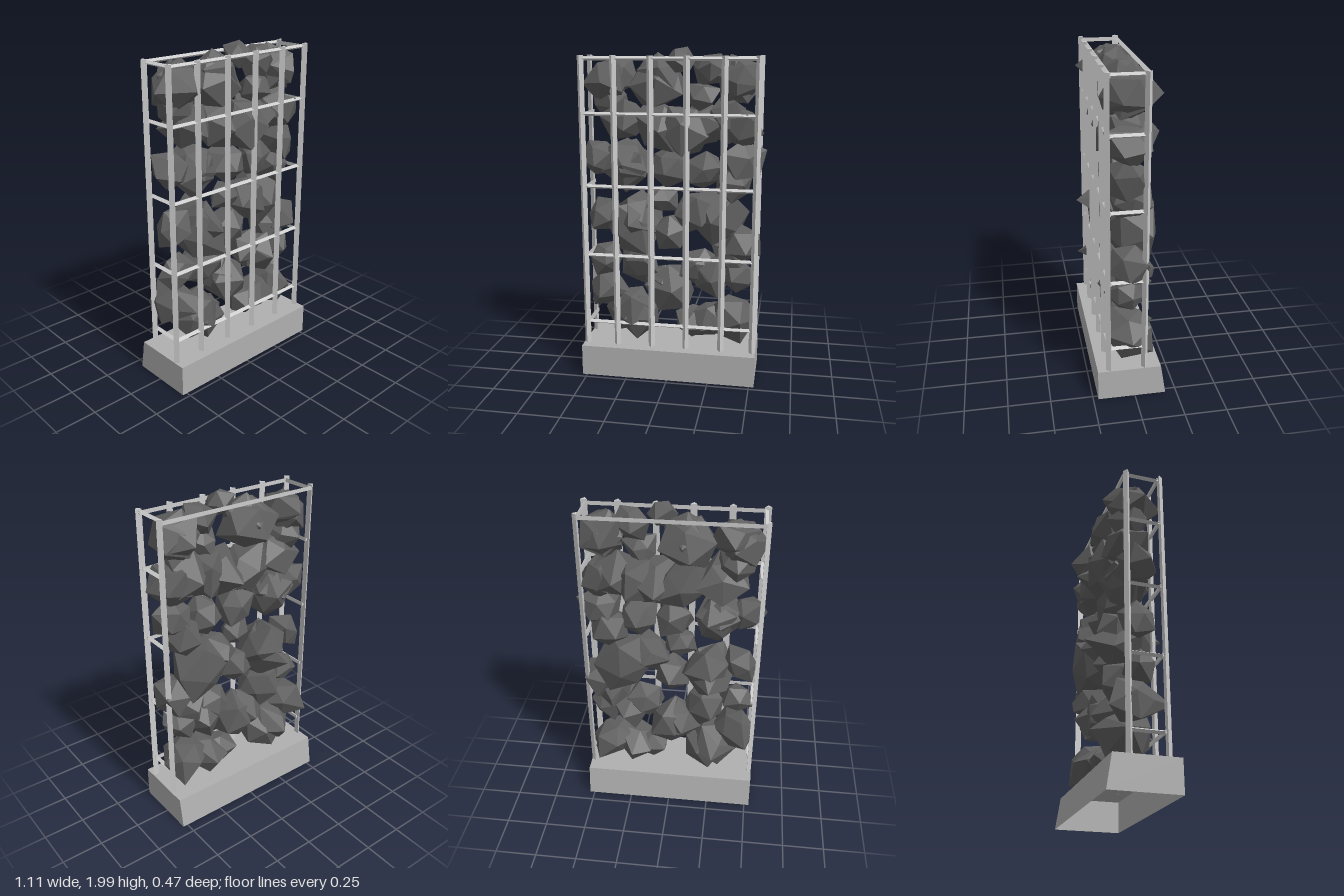
import * as THREE from 'three';
import { ConvexGeometry } from 'three/addons/geometries/ConvexGeometry.js';

const metal = new THREE.MeshStandardMaterial({ color: 0xcccccc, flatShading: true, side: THREE.DoubleSide });
const concrete = new THREE.MeshStandardMaterial({ color: 0xb0b0b0, flatShading: true, side: THREE.DoubleSide });
const rock = new THREE.MeshStandardMaterial({ color: 0x606060, flatShading: true });

let seed = 7;
function rnd() {
  seed = (seed * 16807) % 2147483647;
  return seed / 2147483647;
}

// Stones resting against the front bars: x, y, radius, optional z of a corner poking out
const FRONT_STONES = [
  [-0.38, 1.79, 0.14, 0.21], [-0.09, 1.77, 0.16], [0.06, 1.91, 0.09], [0.23, 1.87, 0.11], [0.39, 1.79, 0.14, 0.18],
  [0.18, 1.71, 0.1], [-0.28, 1.57, 0.15], [-0.06, 1.53, 0.17], [0.2, 1.55, 0.15], [0.4, 1.55, 0.13],
  [-0.43, 1.34, 0.12], [-0.25, 1.3, 0.15], [-0.01, 1.29, 0.13], [0.2, 1.28, 0.11], [0.41, 1.33, 0.14],
  [-0.42, 0.98, 0.12], [-0.22, 0.97, 0.17, 0.24], [0, 0.89, 0.12], [0.27, 0.97, 0.18], [0.42, 0.83, 0.13],
  [-0.05, 1.1, 0.1], [-0.41, 0.51, 0.15, 0.22], [-0.2, 0.69, 0.14], [-0.01, 0.52, 0.16], [0.26, 0.63, 0.14, 0.18],
  [0.42, 0.63, 0.12], [-0.22, 0.36, 0.15], [0.13, 0.32, 0.13], [0.38, 0.37, 0.16], [-0.41, 0.71, 0.11]
];
// Stones bulging out at the open back, same columns
const BACK_STONES = [
  [-0.27, 0.38, 0.15, -0.2], [0.24, 0.34, 0.14, -0.16], [-0.06, 0.56, 0.13], [-0.24, 0.92, 0.18, -0.23],
  [0.17, 0.68, 0.14], [0.36, 0.76, 0.13, -0.14], [0.15, 1.04, 0.14, -0.15], [-0.28, 1.31, 0.15],
  [0.38, 1.2, 0.13], [0.08, 1.52, 0.18, -0.2], [0.32, 1.57, 0.14, -0.16], [-0.37, 1.67, 0.14, -0.14],
  [-0.07, 1.8, 0.13, -0.15], [0.37, 1.79, 0.14, -0.17], [-0.35, 1.82, 0.13, -0.16]
];

// Irregular convex stone with about a dozen corners
function stone(x, y, z, r, tip) {
  const turn = new THREE.Euler(rnd() * 6, rnd() * 6, rnd() * 6);
  const g = (1 + Math.sqrt(5)) / 2;
  const points = [];
  for (const a of [-1, 1]) for (const b of [-g, g]) {
    for (const [px, py, pz] of [[0, a, b], [a, b, 0], [b, 0, a]]) {
      const p = new THREE.Vector3(px, py, pz).normalize().multiplyScalar(r * (0.72 + rnd() * 0.5)).applyEuler(turn);
      p.x = THREE.MathUtils.clamp(p.x, -0.56 - x, 0.56 - x);
      p.y = THREE.MathUtils.clamp(p.y, 0.2 - y, 2 - y);
      p.z = THREE.MathUtils.clamp(p.z, -0.16 - z, 0.16 - z);
      points.push(p);
    }
  }
  if (tip !== undefined) points.push(new THREE.Vector3(0, 0, tip - z));
  const mesh = new THREE.Mesh(new ConvexGeometry(points), rock);
  mesh.position.set(x, y, z);
  mesh.name = 'stone';
  return mesh;
}

// Triangular bar with its ridge towards +z
function bar(name, length, radius, depth, parent) {
  const geo = new THREE.CylinderGeometry(radius, radius, length, 3).scale(1, 1, depth);
  const mesh = new THREE.Mesh(geo, metal);
  mesh.name = name;
  parent.add(mesh);
  return mesh;
}

export function createModel() {
  seed = 7;
  const model = new THREE.Group();
  model.name = 'stoneCage';

  // Hollow base, open underneath, with a sloping back
  const baseGeo = new THREE.BoxGeometry(1.06, 0.19, 0.375).translate(0, 0.095, 0.0325);
  const pos = baseGeo.attributes.position;
  for (let i = 0; i < pos.count; i++) {
    if (pos.getY(i) < 0.01 && pos.getZ(i) < 0) pos.setZ(i, -0.185);
  }
  baseGeo.setIndex([...baseGeo.index.array].filter((v, i) => i < 18 || i >= 24));
  baseGeo.clearGroups();
  baseGeo.computeVertexNormals();
  const base = new THREE.Mesh(baseGeo, concrete);
  base.name = 'base';
  model.add(base);

  const frame = new THREE.Group();
  frame.name = 'frame';
  model.add(frame);

  // Upright posts; the back pair turn their ridges outwards
  for (const x of [-0.51, -0.32, -0.105, 0.105, 0.32, 0.51]) {
    bar('frontPost', 1.75, 0.0225, 0.8, frame).position.set(x, 1.065, 0.153);
  }
  for (const s of [-1, 1]) {
    const post = bar('backPost', 1.75, 0.0215, 0.8, frame);
    post.rotation.y = s * Math.PI / 2;
    post.position.set(s * 0.513, 1.065, -0.058);
  }

  // Horizontal rails: front and sides at each level
  for (const y of [0.325, 0.755, 1.18, 1.608, 1.922]) {
    const front = bar('frontRail', 1.02, 0.0135, 1, frame);
    front.rotation.z = Math.PI / 2;
    front.position.set(0, y, 0.143);
    for (const s of [-1, 1]) {
      const side = bar('sideRail', 0.21, 0.0135, 1, frame);
      side.rotation.set(0, s * Math.PI / 2, Math.PI / 2);
      side.position.set(s * 0.5, y, 0.043);
    }
  }
  // Single rail across the top of the back
  const backRail = bar('backRail', 1.02, 0.0135, 1, frame);
  backRail.rotation.z = Math.PI / 2;
  backRail.position.set(0, 1.922, -0.067);

  // Stone filling
  const stones = new THREE.Group();
  stones.name = 'stones';
  for (const [x, y, r, tip] of FRONT_STONES) stones.add(stone(x, y, 0.15 - r, r, tip));
  for (const [x, y, r, tip] of BACK_STONES) stones.add(stone(x, y, r - 0.13, r, tip));
  model.add(stones);

  return model;
}
